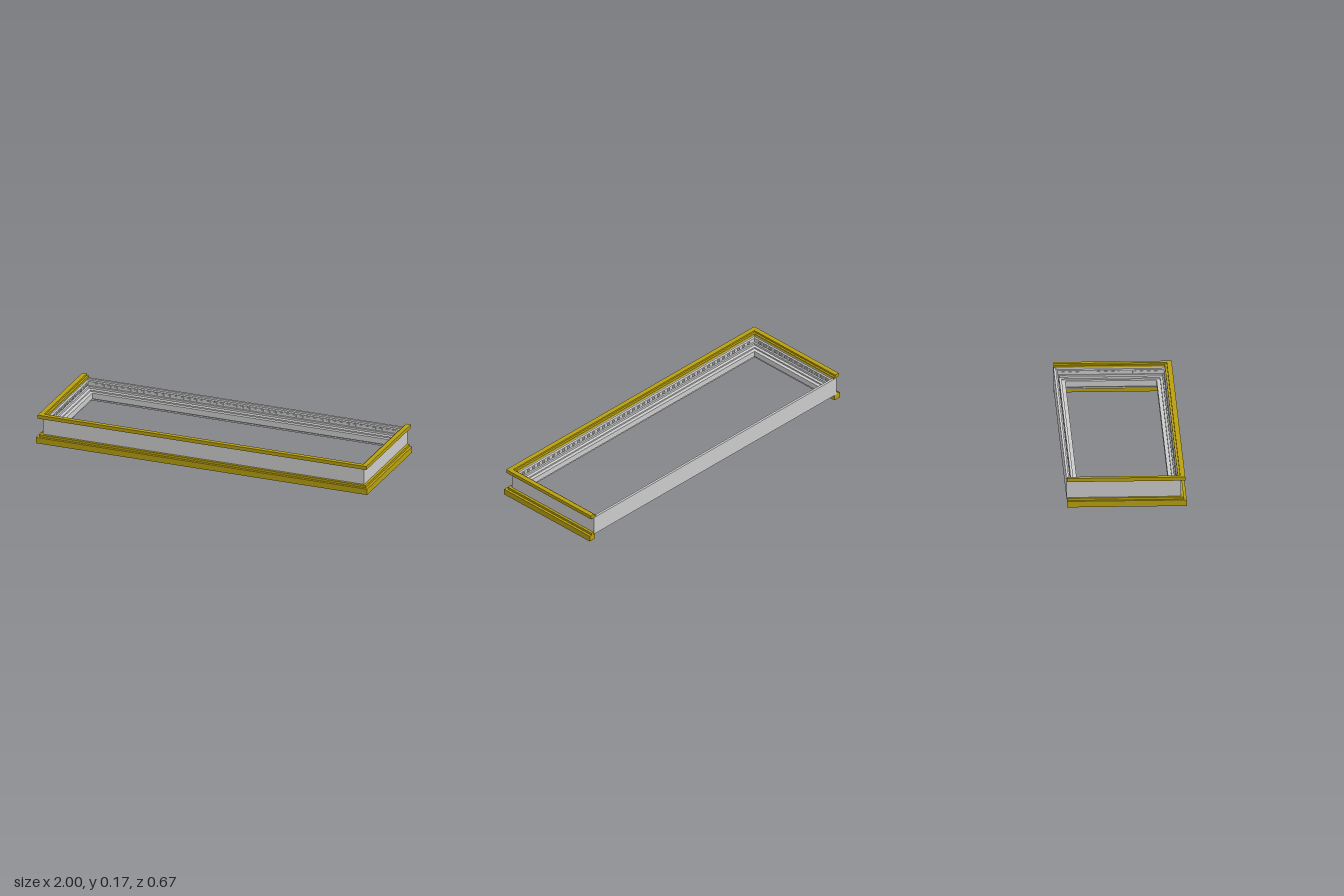
import * as THREE from 'three';
import { mergeGeometries } from 'three/addons/utils/BufferGeometryUtils.js';

const HALF_X = 0.97, FRONT = 0.308, BACK = -0.333;

// Path stations: corner [x, z] and its outward mitre direction [mx, mz]
const ringPath = [
  [-HALF_X, BACK, -1, -1], [-HALF_X, FRONT, -1, 1],
  [HALF_X, FRONT, 1, 1], [HALF_X, BACK, 1, -1],
];
const trimPath = [
  [-HALF_X, -0.331, -1, 0], [-HALF_X, FRONT, -1, 1],
  [HALF_X, FRONT, 1, 1], [HALF_X, -0.331, 1, 0],
];

// Sweep a counter-clockwise profile of [outward, y] along a mitred path
function sweep(path, profile, closed) {
  const pos = [];
  const point = (s, [o, y]) => [s[0] + s[2] * o, y, s[1] + s[3] * o];
  const tri = (a, b, c) => pos.push(...a, ...b, ...c);
  const n = profile.length, count = closed ? path.length : path.length - 1;
  for (let i = 0; i < count; i++) {
    const s = path[i], t = path[(i + 1) % path.length];
    for (let j = 0; j < n; j++) {
      const p = profile[j], q = profile[(j + 1) % n];
      tri(point(s, p), point(t, p), point(t, q));
      tri(point(s, p), point(t, q), point(s, q));
    }
  }
  if (!closed) {
    // End caps
    const faces = THREE.ShapeUtils.triangulateShape(profile.map(p => new THREE.Vector2(...p)), []);
    const first = path[0], last = path[path.length - 1];
    for (const [a, b, c] of faces) {
      tri(point(first, profile[a]), point(first, profile[b]), point(first, profile[c]));
      tri(point(last, profile[a]), point(last, profile[c]), point(last, profile[b]));
    }
  }
  const g = new THREE.BufferGeometry();
  g.setAttribute('position', new THREE.Float32BufferAttribute(pos, 3));
  g.computeVertexNormals();
  return g;
}

export function createModel() {
  const model = new THREE.Group();
  const grey = new THREE.MeshStandardMaterial({ color: 0xcccccc });
  const gold = new THREE.MeshStandardMaterial({ color: 0xb8a010 });
  const add = (name, geometry, material) => {
    const mesh = new THREE.Mesh(geometry, material);
    mesh.name = name;
    model.add(mesh);
  };

  // Main frame: plain outer wall, stepped mouldings inside, broad lower lip
  add('frame', sweep(ringPath, [
    [0, 0.035], [0, 0.147], [-0.014, 0.147], [-0.014, 0.136],
    [-0.022, 0.132], [-0.022, 0.108], [-0.032, 0.108], [-0.032, 0.096],
    [-0.045, 0.092], [-0.045, 0.084], [-0.065, 0.084], [-0.065, 0.05],
    [-0.056, 0.044], [-0.056, 0.035],
  ], true), grey);

  // Lower plinth trim on the front and both ends
  add('lowerTrim', sweep(trimPath, [
    [-0.012, 0], [0.03, 0], [0.03, 0.035], [0.015, 0.035],
    [0.015, 0.048], [-0.002, 0.048], [-0.002, 0.035], [-0.012, 0.035],
  ], false), gold);

  // Upper cornice trim on the same three sides
  add('upperTrim', sweep(trimPath, [
    [-0.018, 0.147], [0.022, 0.147], [0.022, 0.168],
    [-0.006, 0.168], [-0.006, 0.158], [-0.018, 0.158],
  ], false), gold);

  // Row of small blocks along the inside of the frame
  const blocks = [];
  const block = (x, z, w, d) =>
    blocks.push(new THREE.BoxGeometry(w, 0.012, d).translate(x, 0.12, z));
  const inset = 0.0235, pitch = 0.04;
  for (let x = -0.9; x < 0.901; x += pitch) {
    block(x, FRONT - inset, 0.018, 0.007);
    block(x, BACK + inset, 0.018, 0.007);
  }
  for (let z = -0.28; z < 0.261; z += pitch) {
    for (const s of [-1, 1]) block(s * (HALF_X - inset), z, 0.007, 0.018);
  }
  add('innerBlocks', mergeGeometries(blocks), grey);

  return model;
}
